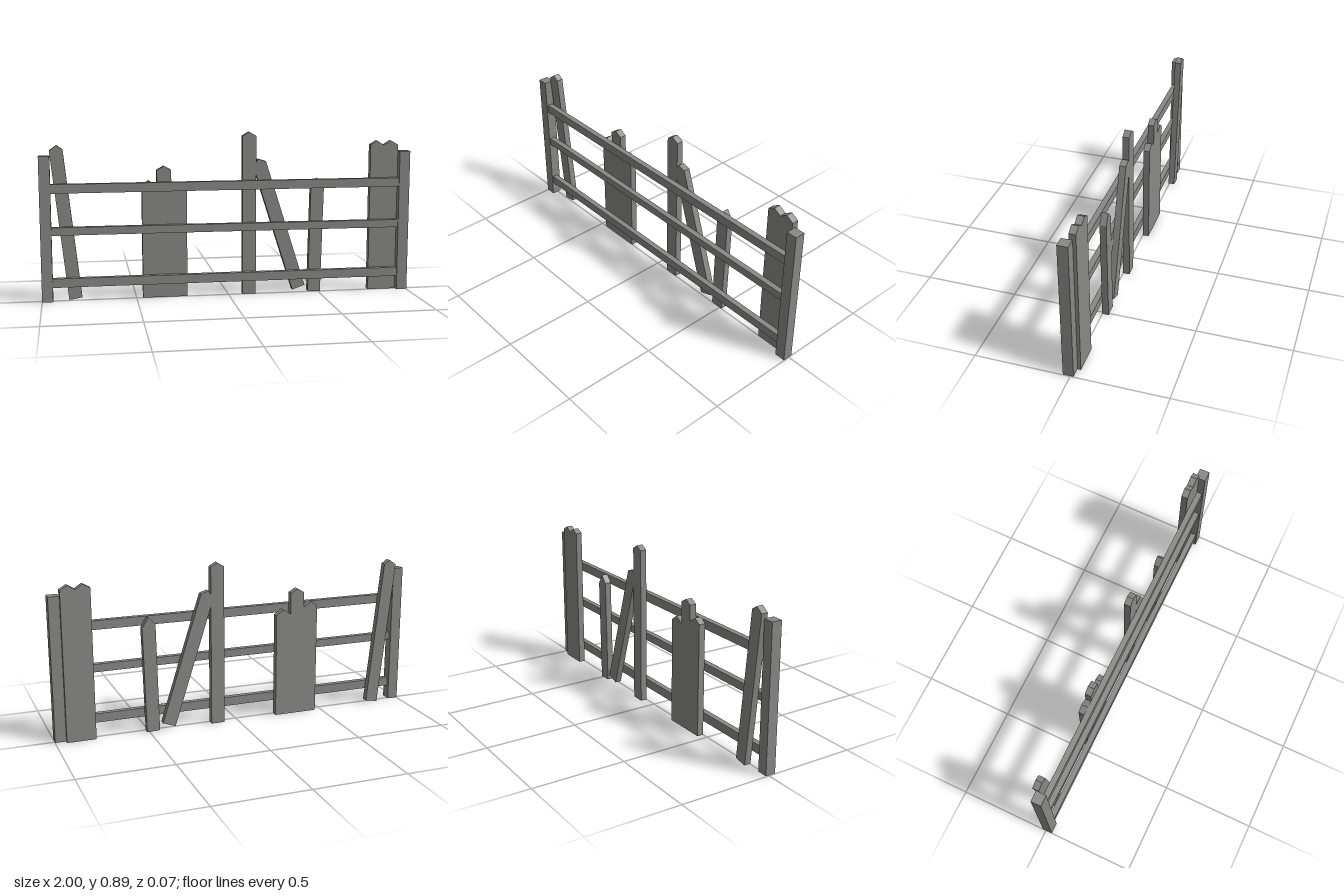
import * as THREE from 'three';

const wood = new THREE.MeshStandardMaterial({ color: 0x888885, side: THREE.DoubleSide });
wood.name = 'weathered grey wood';

// Plank from an outline running bottom left, over the top, to bottom right.
// The foot (edge from last point to first) is left open.
function plank(name, outline, zBack, zFront) {
  const shape = new THREE.Shape(outline.map(([x, y]) => new THREE.Vector2(x, y)));
  const solid = new THREE.ExtrudeGeometry(shape, { depth: zFront - zBack, bevelEnabled: false });
  const pos = solid.attributes.position;
  const foot = [outline[0], outline[outline.length - 1]];
  const onFoot = (i) => foot.some(([x, y]) => Math.hypot(pos.getX(i) - x, pos.getY(i) - y) < 1e-4);
  const kept = [];
  for (let i = 0; i < pos.count; i += 3) {
    if (onFoot(i) && onFoot(i + 1) && onFoot(i + 2)) continue;
    for (let k = i; k < i + 3; k++) kept.push(pos.getX(k), pos.getY(k), pos.getZ(k) + zBack);
  }
  const geometry = new THREE.BufferGeometry();
  geometry.setAttribute('position', new THREE.Float32BufferAttribute(kept, 3));
  geometry.computeVertexNormals();
  const mesh = new THREE.Mesh(geometry, wood);
  mesh.name = name;
  return mesh;
}

export function createModel() {
  const fence = new THREE.Group();
  fence.name = 'brokenFence';

  // End posts
  for (const [name, x0, x1] of [['rightPost', -1, -0.942], ['leftPost', 0.942, 1]]) {
    fence.add(plank(name, [[x0, 0.005], [x0, 0.776], [x1, 0.776], [x1, 0.005]], -0.018, 0.037));
  }

  // Horizontal rails; the middle one sags slightly to one side
  for (const [name, y, tilt] of [['bottomRail', 0.104, 0], ['middleRail', 0.378, -0.002], ['topRail', 0.605, 0]]) {
    const rail = new THREE.Mesh(new THREE.BoxGeometry(1.886, name === 'middleRail' ? 0.042 : 0.048, 0.03), wood);
    rail.name = name;
    rail.position.set(0, y, 0.015);
    rail.rotation.z = tilt;
    fence.add(rail);
  }

  // Pickets behind the rails
  const pickets = {
    leaningRightPicket: [[-0.858, 0.005], [-0.944, 0.802], [-0.906, 0.829], [-0.874, 0.807], [-0.789, 0.016]],
    tripleBoard: [[-0.465, 0.002], [-0.465, 0.61], [-0.428, 0.635], [-0.385, 0.605], [-0.385, 0.69],
      [-0.347, 0.712], [-0.308, 0.69], [-0.308, 0.575], [-0.265, 0.6], [-0.225, 0.572], [-0.225, 0.002]],
    tallPicket: [[0.077, 0.002], [0.077, 0.866], [0.113, 0.888], [0.151, 0.866], [0.151, 0.002]],
    fallenPicket: [[0.356, 0.016], [0.137, 0.7], [0.163, 0.742], [0.205, 0.728], [0.425, 0.04]],
    shortPicket: [[0.443, 0.005], [0.455, 0.59], [0.492, 0.63], [0.527, 0.575], [0.513, 0.002]],
    doubleBoard: [[0.787, 0.002], [0.787, 0.81], [0.825, 0.831], [0.863, 0.807], [0.903, 0.831],
      [0.942, 0.808], [0.942, 0.002]],
  };
  for (const [name, outline] of Object.entries(pickets)) {
    fence.add(plank(name, outline, -0.035, 0));
  }
  return fence;
}
